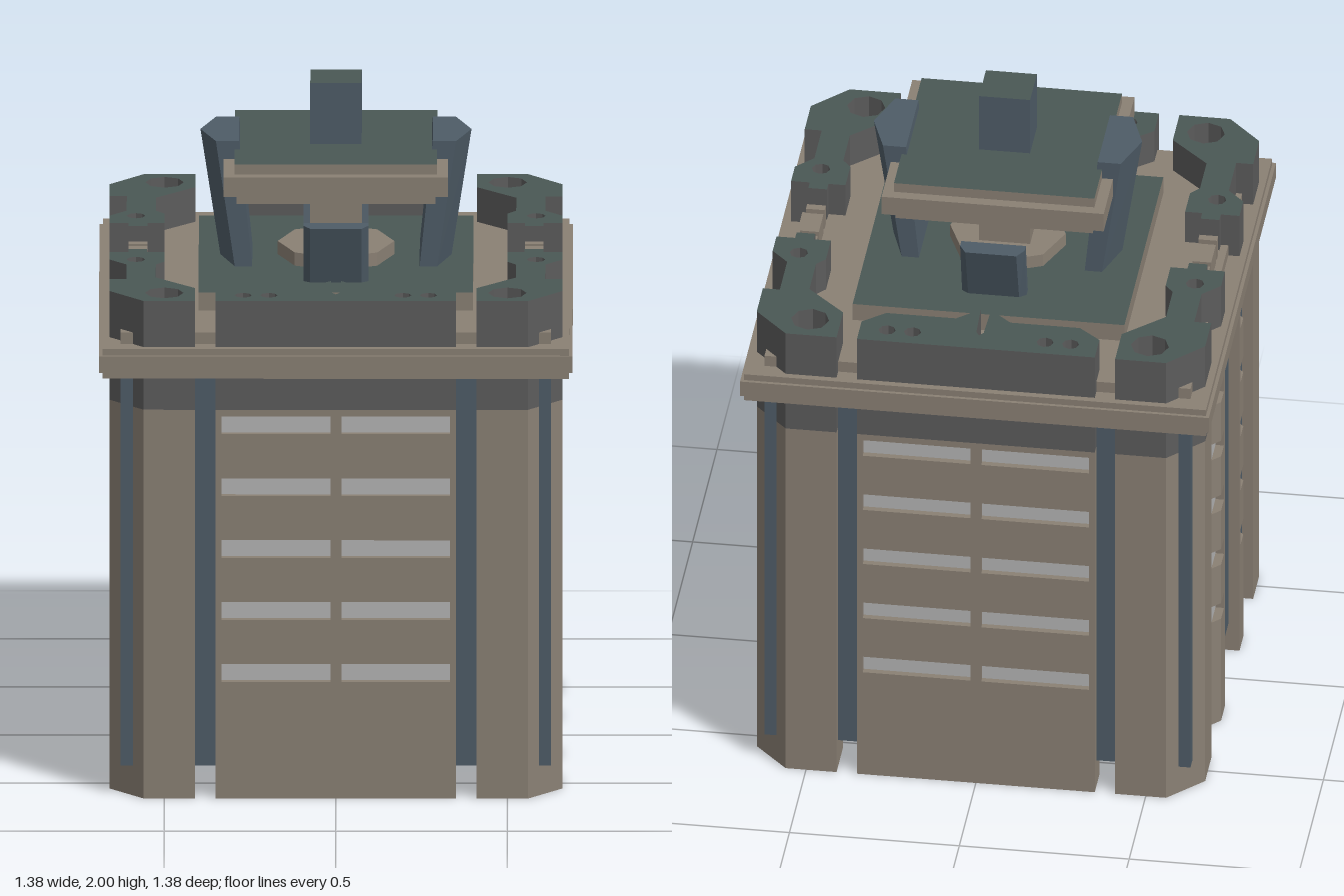
import * as THREE from 'three';

const mat = (color, side = THREE.FrontSide) =>
  new THREE.MeshStandardMaterial({ color, flatShading: true, side });

export function createModel() {
  const model = new THREE.Group();
  const stone = mat(0x8a8074), dark = mat(0x5c5c5c), green = mat(0x4a5855);
  const blue = mat(0x4e5c67, THREE.DoubleSide), glass = mat(0xb4b4b4);

  const add = (name, geometry, material, parent = model) => {
    const mesh = new THREE.Mesh(geometry, material);
    mesh.name = name;
    parent.add(mesh);
    return mesh;
  };
  const toVectors = pts => pts.map(([x, z]) => new THREE.Vector2(x, z));

  // Extrudes a floor plan of [x, z] points from y0 up to y1
  const slab = (name, plan, y0, y1, material, holes = [], parent = model) => {
    const shape = new THREE.Shape(toVectors(plan));
    shape.holes = holes.map(h => new THREE.Path(toVectors(h)));
    const geo = new THREE.ExtrudeGeometry(shape, { depth: y1 - y0, bevelEnabled: false });
    geo.rotateX(Math.PI / 2).translate(0, y1, 0);
    return add(name, geo, material, parent);
  };
  const rect = (x0, x1, z0, z1) => [[x0, z0], [x1, z0], [x1, z1], [x0, z1]];
  const square = (x, z = x) => rect(-x, x, -z, z);
  const octagon = (x, z, r) => Array.from({ length: 8 }, (_, i) =>
    [x + r * Math.cos(i * Math.PI / 4), z + r * Math.sin(i * Math.PI / 4)]);
  const flip = (pts, sx, sz) => pts.map(([x, z]) => [x * sx, z * sz]);

  // Window rows shared by all facades
  const rows = [0, 1, 2, 3, 4].map(i => 0.381 + i * 0.188);
  const half = 0.027, bandY = 1.18, topY = 1.51;

  // A pillar is stacked from full layers and layers notched for the windows
  const pillar = (name, plan, notched, holes, windows) => {
    const group = new THREE.Group();
    group.name = name;
    model.add(group);
    let y = 0;
    for (const row of rows) {
      slab('wallLayer', plan, y, row - half, stone, holes, group);
      slab('windowLayer', notched, row - half, row + half, stone, holes, group);
      for (const w of windows) slab('window', w, row - half, row + half, glass, [], group);
      y = row + half;
    }
    slab('wallLayer', plan, y, bandY, stone, holes, group);
    slab('darkTop', plan, bandY, topY, [green, dark], holes, group);
  };

  // Front and back facade walls, with a slot on the inner edge
  const inner = [[0.35, 0.565], [0.285, 0.51], [0.08, 0.51], [0.015, 0.452], [0.011, 0.575],
    [0, 0.59], [-0.011, 0.575], [-0.015, 0.452], [-0.08, 0.51], [-0.285, 0.51], [-0.35, 0.565]];
  const facade = [[-0.35, 0.66], [0.35, 0.66], ...inner];
  const facadeNotched = [[-0.35, 0.66], [-0.333, 0.66], [-0.333, 0.638], [-0.016, 0.638],
    [-0.016, 0.66], [0.016, 0.66], [0.016, 0.638], [0.333, 0.638], [0.333, 0.66], [0.35, 0.66], ...inner];
  for (const s of [1, -1]) {
    pillar(s > 0 ? 'frontFacade' : 'backFacade', flip(facade, 1, s), flip(facadeNotched, 1, s),
      [-0.27, -0.195, 0.195, 0.27].map(x => octagon(x, 0.6 * s, 0.025)),
      [-1, 1].map(k => flip(rect(0.016, 0.333, 0.63, 0.641), k, s)));
  }

  // Corner pillars
  const cornerA = [[0.56, 0.66], [0.41, 0.66], [0.41, 0.525], [0.525, 0.415], [0.525, 0.28],
    [0.5, 0.25], [0.5, 0.15], [0.55, 0.15], [0.55, 0.12], [0.605, 0.12], [0.605, 0.15], [0.66, 0.15]];
  const cornerB = [[0.61, 0.28], [0.61, 0.43], [0.66, 0.43], [0.66, 0.555]];
  for (const sx of [1, -1]) for (const sz of [1, -1]) {
    pillar('cornerPillar',
      flip([...cornerA, [0.66, 0.228], ...cornerB], sx, sz),
      flip([...cornerA, [0.66, 0.17], [0.632, 0.17], [0.632, 0.257], ...cornerB], sx, sz),
      [octagon(0.5 * sx, 0.575 * sz, 0.056), octagon(0.583 * sx, 0.227 * sz, 0.027)],
      [flip(rect(0.62, 0.635, 0.17, 0.26), sx, sz)]);
  }

  // Thin fins in the middle of each side
  for (const s of [1, -1]) {
    for (const [z0, z1] of [[-0.095, -0.07], [-0.048, 0.048], [0.07, 0.095]])
      slab('sideFin', flip(rect(0.55, 0.605, z0, z1), s, 1), 0, 1.47, stone);
  }

  // Blue skin behind the pillars, open at the bottom
  slab('innerSkin', square(0.627), 0.09, 1.29, blue, [square(0.615)]);

  // Cornice and raised decks
  slab('cornice', square(0.68), 1.28, 1.37, stone);
  slab('corniceLip', square(0.69), 1.3, 1.35, stone);
  slab('roofStep', square(0.627), 1.36, 1.405, stone);
  slab('roofDeck', square(0.4), 1.4, 1.46, [green, stone]);

  // Central column, canopy and tower
  slab('columnBase', octagon(0, 0, 0.17), 1.46, 1.5, stone);
  slab('column', square(0.075, 0.07), 1.46, 1.7, stone);
  slab('canopyUnderside', square(0.29, 0.285), 1.695, 1.725, stone);
  slab('canopyRim', square(0.327, 0.316), 1.725, 1.785, stone);
  slab('canopyTop', square(0.295, 0.284), 1.785, 1.815, [green, stone]);
  slab('tower', square(0.075, 0.07), 1.815, 2, [green, blue]);

  // Leaning fins: the top of the plan is kept, the bottom moves to a second plan
  const leaningFin = (name, top, bottom, y1, angle) => {
    const n = top.length, y0 = 1.46, pos = [];
    const lo = bottom.map(([x, z]) => [x, y0, z]), hi = top.map(([x, z]) => [x, y1, z]);
    for (let i = 0; i < n; i++) {
      const j = (i + 1) % n;
      pos.push(...lo[i], ...hi[i], ...lo[j], ...lo[j], ...hi[i], ...hi[j]);
      if (i > 0 && i < n - 1) pos.push(...hi[0], ...hi[j], ...hi[i]);
    }
    const geo = new THREE.BufferGeometry();
    geo.setAttribute('position', new THREE.Float32BufferAttribute(pos, 3));
    geo.computeVertexNormals();
    add(name, geo, blue).rotation.y = angle;
  };
  const sidePlan = (a, b, c) => [[a, -0.127], [b, -0.127], [c, 0], [b, 0.127], [a, 0.127]];
  const endPlan = (a, b) => [[a, -0.095], [a + 0.025, -0.095], [b, -0.075],
    [b, 0.075], [a + 0.025, 0.095], [a, 0.095]];
  for (const k of [0, 1]) {
    leaningFin('sideRoofFin', sidePlan(0.282, 0.35, 0.395), sidePlan(0.244, 0.295, 0.337), 1.84, k * Math.PI);
    leaningFin('endRoofFin', endPlan(0.296, 0.355), endPlan(0.255, 0.295), 1.64, (k + 0.5) * Math.PI);
  }
  return model;
}
